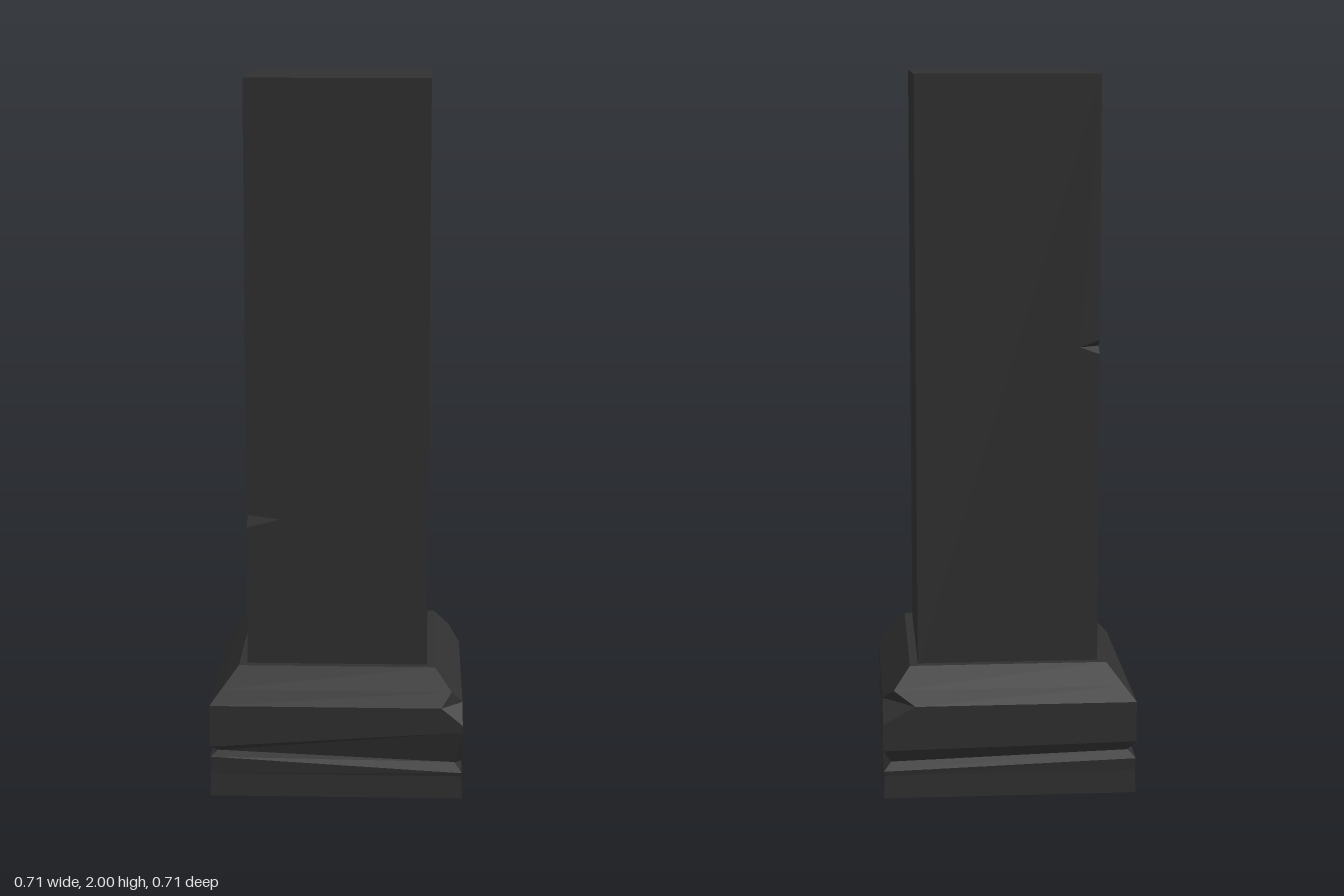
import * as THREE from 'three';

const stone = new THREE.MeshStandardMaterial({ color: 0x303030, flatShading: true, side: THREE.DoubleSide });
stone.name = 'dark stone';

function addMesh(group, geometry, name) {
  geometry.computeVertexNormals();
  const mesh = new THREE.Mesh(geometry, stone);
  mesh.name = name;
  group.add(mesh);
}

// Loft through rings of eight points, two at each corner of a square.
// Order: front edge, right edge, back edge, left edge.
function loftRings(rings) {
  const pos = [], index = [];
  const dirs = [[-1, 1], [1, 1], [1, 1], [1, -1], [1, -1], [-1, -1], [-1, -1], [-1, 1]];
  for (const { h, y, chipF = 0, chipB = 0 } of rings) {
    dirs.forEach(([sx, sz], i) => {
      let x = sx * h, z = sz * h;
      if (i === 1) x -= chipF;
      if (i === 2) z -= chipF;
      if (i === 3) z += chipB;
      if (i === 4) x -= chipB;
      pos.push(x, Array.isArray(y) ? y[i] : y, z);
    });
  }
  for (let r = 0; r < rings.length - 1; r++) {
    for (let i = 0; i < 8; i++) {
      const a = r * 8 + i, b = r * 8 + (i + 1) % 8;
      index.push(a, b, b + 8, a, b + 8, a + 8);
    }
  }
  const top = (rings.length - 1) * 8;
  for (let i = 1; i < 7; i++) {
    index.push(0, i + 1, i, top, top + i, top + i + 1);
  }
  const geo = new THREE.BufferGeometry();
  geo.setAttribute('position', new THREE.Float32BufferAttribute(pos, 3));
  geo.setIndex(index);
  return geo.toNonIndexed();
}

export function createModel() {
  const model = new THREE.Group();
  model.name = 'pillar';

  // Base: slab, cracked groove, block with two chipped corners, bevelled top
  addMesh(model, loftRings([
    { h: 0.355, y: 0 },
    { h: 0.352, y: 0.065 },
    { h: 0.354, y: [0.115, 0.075, 0.072, 0.078, 0.078, 0.1, 0.1, 0.115] },
    { h: 0.333, y: [0.128, 0.1, 0.098, 0.1, 0.1, 0.12, 0.12, 0.128] },
    { h: 0.355, y: [0.145, 0.195, 0.115, 0.138, 0.138, 0.15, 0.15, 0.145] },
    { h: 0.355, y: 0.215 },
    { h: 0.355, y: 0.265, chipF: 0.06, chipB: 0.09 },
    { h: 0.324, y: 0.303 },
    { h: 0.277, y: 0.36 },
  ]), 'base');

  // Shaft: four faces and a top, with outlines notched at two edges
  const shaft = new THREE.Group();
  shaft.name = 'shaft';
  model.add(shaft);
  const w = 0.254, y0 = 0.355, y1 = 2;
  const notches = [
    { sz: 1, low: 0.755, high: 0.792, tipY: 0.78, tipX: -0.16, tipZ: 0.2 },
    { sz: -1, low: 1.235, high: 1.275, tipY: 1.255, tipX: -0.2, tipZ: -0.225 },
  ];
  const [front, back] = notches;
  const faceNotch = (edge, tip, n) => [[edge, n.low], [tip, n.tipY], [edge, n.high]];
  const face = (name, angle, rightCut, leftCut) => {
    const points = [[-w, y0], [w, y0], ...rightCut, [w, y1], [-w, y1], ...leftCut.reverse()];
    const geo = new THREE.ShapeGeometry(new THREE.Shape(points.map(p => new THREE.Vector2(...p))));
    addMesh(shaft, geo.translate(0, 0, w).rotateY(angle), name);
  };
  face('shaftFront', 0, [], faceNotch(-w, front.tipX, front));
  face('shaftRight', Math.PI / 2, [], []);
  face('shaftBack', Math.PI, faceNotch(w, -back.tipX, back), []);
  face('shaftLeft', -Math.PI / 2, faceNotch(w, front.tipZ, front), faceNotch(-w, back.tipZ, back));
  addMesh(shaft, new THREE.PlaneGeometry(2 * w, 2 * w).rotateX(-Math.PI / 2).translate(0, y1, 0), 'shaftTop');

  // Inner walls of the notches
  for (const n of notches) {
    const z = n.sz * w;
    const c = new THREE.Vector3(n.tipX, n.tipY, z);
    const d = new THREE.Vector3(-w, n.tipY, n.tipZ);
    const high = new THREE.Vector3(-w, n.high, z), low = new THREE.Vector3(-w, n.low, z);
    const walls = n.sz > 0 ? [high, d, c, low, c, d] : [high, c, d, low, d, c];
    addMesh(shaft, new THREE.BufferGeometry().setFromPoints(walls), 'notch');
  }
  return model;
}
